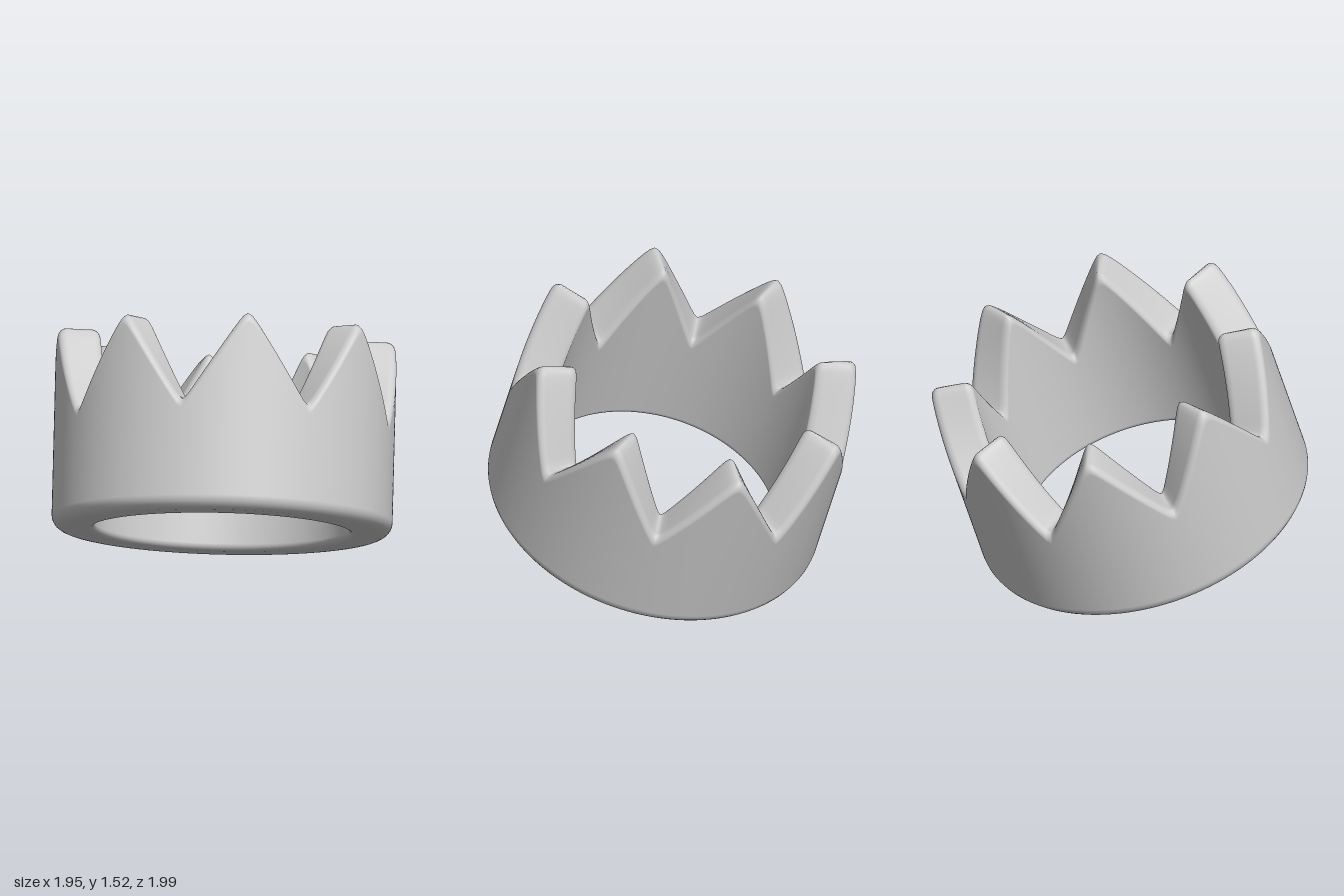
import * as THREE from 'three';

const OUTER = 0.905, INNER = 0.675; // wall radii
const POINTS = 8, STEPS = 32, ARC = 6;

// Height of the rim: straight zigzag with rounded tips and softened valleys
function rimHeight(angle) {
  const cycle = (angle * POINTS) / (Math.PI * 2);
  const t = Math.abs(cycle - Math.round(cycle)) * 2; // 0 at a tip, 1 in a valley
  const tip = Math.hypot(t, 0.07);
  const valley = Math.hypot(1 - t, 0.04) - (1 - t);
  return 1.09 - 0.52 * (tip - valley);
}

// Closed wall cross-section [radius, height] with four rounded corners
function wallSection(top) {
  const pts = [];
  const corner = (r, y, fr, fy, start) => {
    for (let k = 0; k <= ARC; k++) {
      const a = start + (k / ARC) * Math.PI / 2;
      pts.push([r + fr * Math.cos(a), y + fy * Math.sin(a)]);
    }
  };
  const b = 0.07, c = 0.035, f = 0.045, fy = 0.055;
  corner(OUTER - b, b, b, b, -Math.PI / 2);          // bottom outside
  corner(OUTER - f, top - fy, f, fy, 0);             // top outside
  corner(INNER + f, top - fy, f, fy, Math.PI / 2);   // top inside
  corner(INNER + c, c, c, c, Math.PI);               // bottom inside
  return pts;
}

function crownGeometry() {
  const columns = POINTS * STEPS;
  const positions = [], index = [];
  let rows = 0;
  for (let i = 0; i < columns; i++) {
    const angle = (i / columns) * Math.PI * 2;
    const section = wallSection(rimHeight(angle));
    rows = section.length;
    for (const [r, y] of section) positions.push(r * Math.sin(angle), y, r * Math.cos(angle));
  }
  for (let i = 0; i < columns; i++) {
    const n = (i + 1) % columns;
    for (let j = 0; j < rows; j++) {
      const k = (j + 1) % rows;
      const a = i * rows + j, b = n * rows + j, c = n * rows + k, d = i * rows + k;
      index.push(a, b, c, a, c, d);
    }
  }
  const geometry = new THREE.BufferGeometry();
  geometry.setAttribute('position', new THREE.Float32BufferAttribute(positions, 3));
  geometry.setIndex(index);
  geometry.computeVertexNormals();
  return geometry;
}

export function createModel() {
  const group = new THREE.Group();
  group.name = 'tiltedCrown';
  const crown = new THREE.Mesh(crownGeometry(), new THREE.MeshStandardMaterial({ color: 0xcccccc }));
  crown.name = 'crown';
  // Leans back and towards its right
  crown.rotation.set(THREE.MathUtils.degToRad(-15), 0, THREE.MathUtils.degToRad(10));
  crown.position.set(0.085, 0.262, 0.13);
  group.add(crown);
  return group;
}
